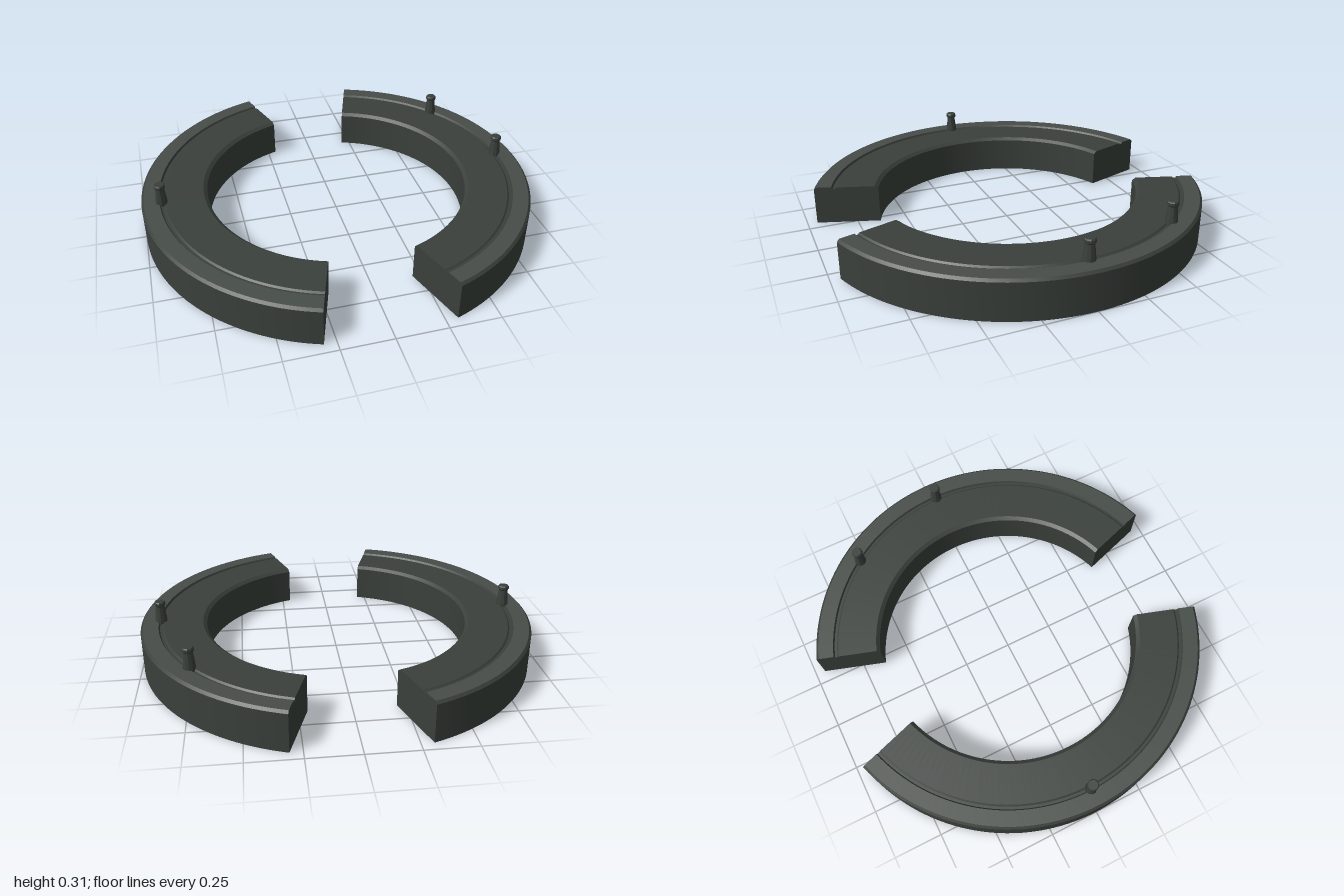
import * as THREE from 'three';
import { toCreasedNormals } from 'three/addons/utils/BufferGeometryUtils.js';

const START = Math.PI * 0.1;   // each half spans 144 degrees
const SPAN = Math.PI * 0.8;

const dark = new THREE.MeshStandardMaterial({ color: 0x3a403c, side: THREE.DoubleSide });
const light = new THREE.MeshStandardMaterial({ color: 0x474d48, side: THREE.DoubleSide });

const toPoints = (list) => list.map(([r, y]) => new THREE.Vector2(r, y));

function addMesh(parent, name, geometry, material) {
  const mesh = new THREE.Mesh(geometry, material);
  mesh.name = name;
  parent.add(mesh);
  return mesh;
}

// Sweep a radius/height profile around the half ring, keeping its edges crisp
function sweep(profile) {
  return toCreasedNormals(new THREE.LatheGeometry(toPoints(profile), 64, START, SPAN), 0.35);
}

// Section of the ring, split where the rim's top strip sits
const rimTop = [[0.988, 0.2], [0.911, 0.2]];
const outerSide = [[0.67, 0], [1, 0], [1, 0.188], rimTop[0]];
const innerSide = [
  rimTop[1], [0.905, 0.19], [0.892, 0.19], [0.884, 0.198],   // groove
  [0.688, 0.198], [0.67, 0.184], [0.67, 0],                  // deck and inner bevel
];

function halfRing() {
  const half = new THREE.Group();
  addMesh(half, 'outerWall', sweep(outerSide), dark);
  addMesh(half, 'rim', sweep(rimTop), light);
  addMesh(half, 'deck', sweep(innerSide), dark);
  // Flat cut ends
  const section = new THREE.Shape(toPoints([...outerSide, ...innerSide.slice(0, -1)]));
  for (const angle of [START, START + SPAN]) {
    const end = addMesh(half, 'cutEnd', new THREE.ShapeGeometry(section), dark);
    end.rotation.y = angle - Math.PI / 2;
  }
  return half;
}

// Tapered peg with a small flared head
function peg(angle) {
  const profile = [[0, 0.185], [0.031, 0.185], [0.03, 0.21], [0.022, 0.28],
    [0.028, 0.287], [0.028, 0.3], [0.024, 0.306], [0, 0.306]];
  const geometry = toCreasedNormals(new THREE.LatheGeometry(toPoints(profile), 10), 0.2);
  const mesh = new THREE.Mesh(geometry, dark);
  mesh.name = 'peg';
  mesh.position.set(0.9 * Math.cos(angle), 0, -0.9 * Math.sin(angle));
  return mesh;
}

export function createModel() {
  const model = new THREE.Group();
  model.name = 'splitRing';

  const left = halfRing();
  left.name = 'leftHalf';
  const right = halfRing();
  right.name = 'rightHalf';
  right.rotation.y = Math.PI;
  model.add(left, right);

  for (const angle of [0, Math.PI / 5, Math.PI]) model.add(peg(angle));
  return model;
}
